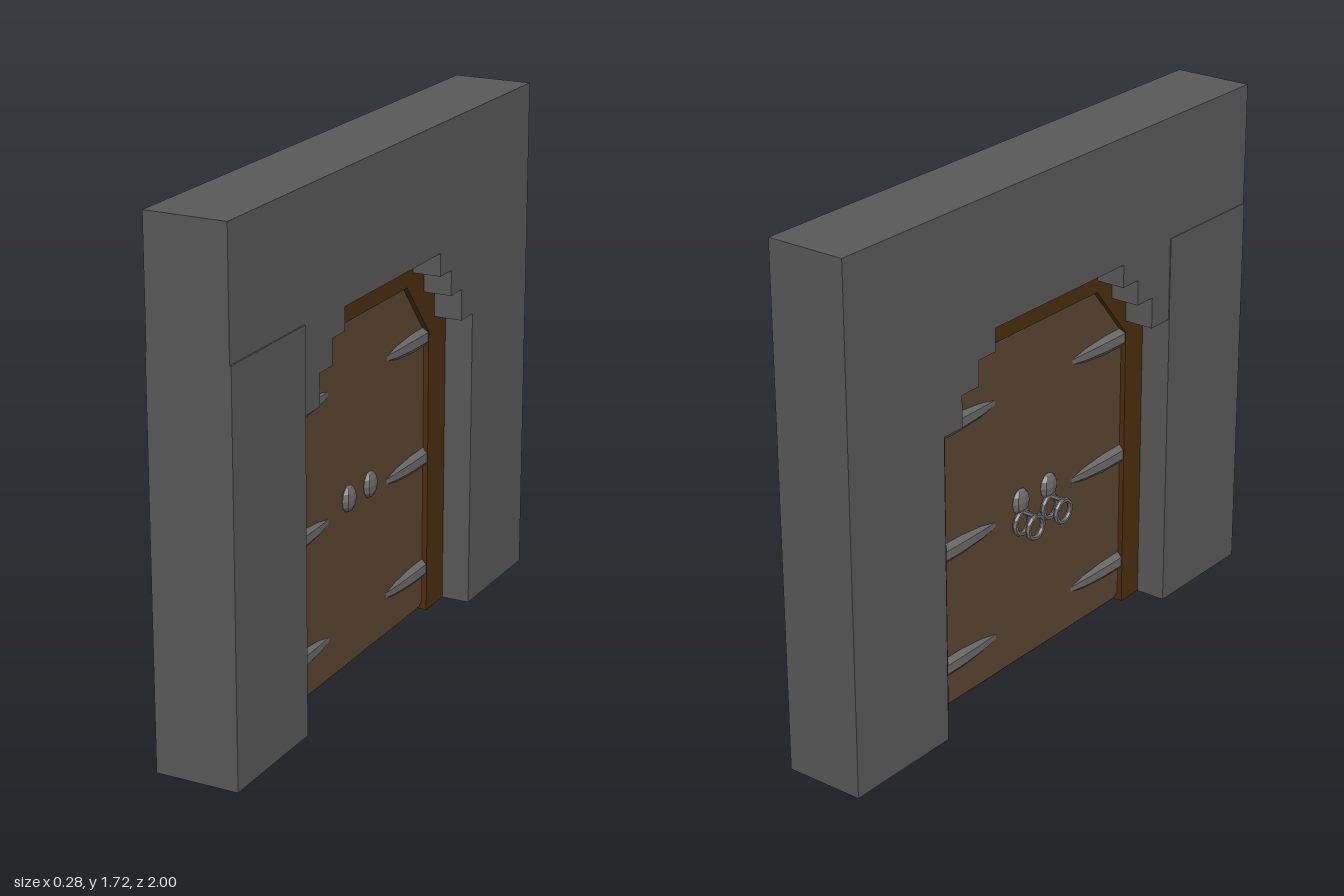
import * as THREE from 'three';

const mat = (name, color) => {
  const m = new THREE.MeshStandardMaterial({ color, flatShading: true });
  m.name = name;
  return m;
};

export function createModel() {
  const model = new THREE.Group();
  model.name = 'archedDoorway';
  const stone = mat('stone', 0x595959);
  const darkWood = mat('darkWood', 0x4b2e0f);
  const doorWood = mat('doorWood', 0x5a452f);
  const iron = mat('iron', 0x6a6a6a);

  const add = (name, geometry, material, x = 0, y = 0, z = 0) => {
    const mesh = new THREE.Mesh(geometry, material);
    mesh.name = name;
    mesh.position.set(x, y, z);
    model.add(mesh);
    return mesh;
  };

  // Slab from an outline of [z, y] points, extruded across x and centred on x = 0
  const slab = (points, thickness, bevel = 0) => {
    const shape = new THREE.Shape(points.map(([z, y]) => new THREE.Vector2(-z, y)));
    const depth = thickness - 2 * bevel;
    const geo = new THREE.ExtrudeGeometry(shape, {
      depth, bevelEnabled: bevel > 0, bevelThickness: bevel, bevelSize: bevel,
      bevelOffset: -bevel, bevelSegments: 1,
    });
    return geo.translate(0, 0, -depth / 2).rotateY(Math.PI / 2);
  };

  // Stepped head of the opening, from the +z side to the -z side
  const steps = [
    [0.575, 1.03], [0.48, 1.03], [0.48, 1.135], [0.4, 1.135], [0.4, 1.22], [0.32, 1.22], [0.32, 1.297],
    [-0.33, 1.297], [-0.33, 1.22], [-0.41, 1.22], [-0.41, 1.135], [-0.49, 1.135], [-0.49, 1.03], [-0.575, 1.03],
  ];

  // Wall: stepped lintel on two pillars
  add('lintel', slab([
    [1, 1.31], [0.575, 1.31], ...steps, [-0.575, 1.31], [-1, 1.31], [-1, 1.72], [1, 1.72],
  ], 0.27), stone, -0.002);
  add('leftPillar', new THREE.BoxGeometry(0.278, 1.31, 0.425), stone, -0.001, 0.655, 0.7875);
  add('rightPillar', new THREE.BoxGeometry(0.27, 1.31, 0.425), stone, -0.002, 0.655, -0.7875);

  // Wooden frame filling the stepped opening
  add('doorFrame', slab([
    [0.575, 0], ...steps, [-0.575, 0],
    [-0.45, 0], [-0.45, 0.99], [-0.29, 1.18], [0.32, 1.18], [0.48, 0.99], [0.48, 0],
  ], 0.07), darkWood);

  // Door panel with a bevelled edge
  add('doorPanel', slab([
    [0.46, 0.005], [0.49, 0.02], [0.49, 0.995], [0.325, 1.19],
    [-0.295, 1.19], [-0.46, 0.995], [-0.46, 0.02], [-0.43, 0.005],
  ], 0.034, 0.01), doorWood);

  // Tapered strap hinges, showing on both faces
  const hingeProfile = [[0, 0], [0.041, 0], [0.04, 0.1], [0.033, 0.2], [0.021, 0.275], [0, 0.3]]
    .map(([r, h]) => new THREE.Vector2(r, h));
  for (const y of [0.15, 0.55, 0.97]) {
    for (const side of [1, -1]) {
      const geo = new THREE.LatheGeometry(hingeProfile, 8, Math.PI / 8)
        .scale(0.85, 1, 1).rotateX(-side * Math.PI / 2);
      add(side > 0 ? 'leftHinge' : 'rightHinge', geo, iron, 0, y, side > 0 ? 0.485 : -0.455);
    }
  }

  // Knobs on both faces, with hanging rings on the -x face
  for (const z of [0.085, -0.06]) {
    for (const side of [1, -1]) {
      add('knob', new THREE.SphereGeometry(0.045, 8, 6).scale(0.45, 1, 0.9), iron, side * 0.02, 0.585, z);
    }
    add('ringPin', new THREE.CylinderGeometry(0.008, 0.008, 0.07, 6).rotateZ(Math.PI / 2), iron, -0.05, 0.55, z);
    for (const x of [-0.028, -0.08]) {
      add('pullRing', new THREE.TorusGeometry(0.038, 0.009, 6, 12).rotateY(Math.PI / 2), iron, x, 0.512, z);
    }
  }

  return model;
}
